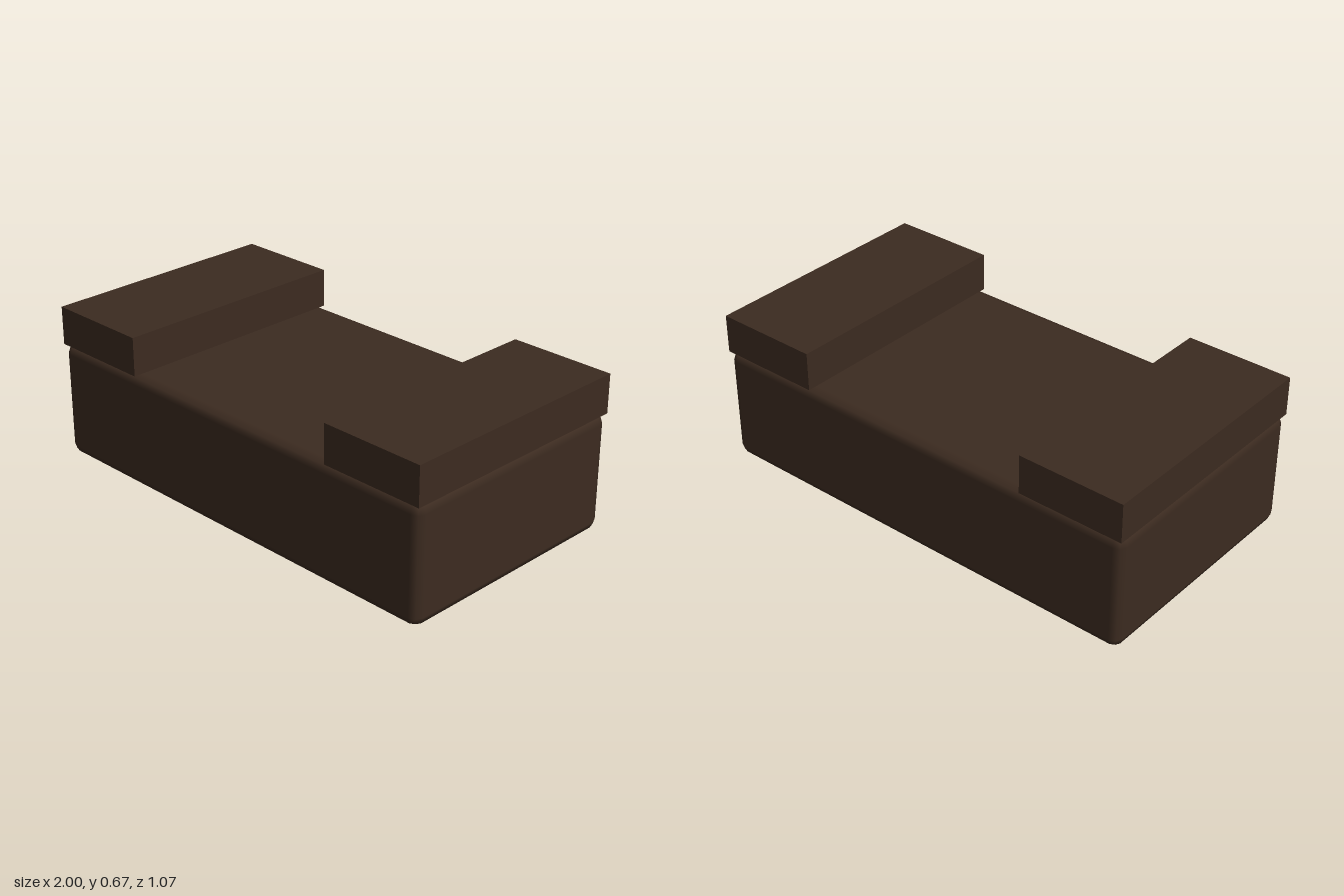
import * as THREE from 'three';
import { RoundedBoxGeometry } from 'three/addons/geometries/RoundedBoxGeometry.js';

export function createModel() {
  const model = new THREE.Group();
  model.name = 'blockWithRaisedEnds';
  const darkBrown = new THREE.MeshStandardMaterial({ color: 0x3c2b20 });
  darkBrown.name = 'dark brown';

  const length = 2, depth = 1.067, bodyHeight = 0.5;
  const endWidth = 0.463, endHeight = 0.167;

  // Body with softly bevelled edges
  const body = new THREE.Mesh(new RoundedBoxGeometry(length, bodyHeight, depth, 1, 0.04), darkBrown);
  body.name = 'body';
  body.position.y = bodyHeight / 2;
  model.add(body);

  // Sharp-edged slab on each end
  const slab = new THREE.BoxGeometry(endWidth, endHeight, depth);
  for (const [name, side] of [['leftEndSlab', 1], ['rightEndSlab', -1]]) {
    const end = new THREE.Mesh(slab, darkBrown);
    end.name = name;
    end.position.set(side * (length - endWidth) / 2, bodyHeight + endHeight / 2, 0);
    model.add(end);
  }
  return model;
}
